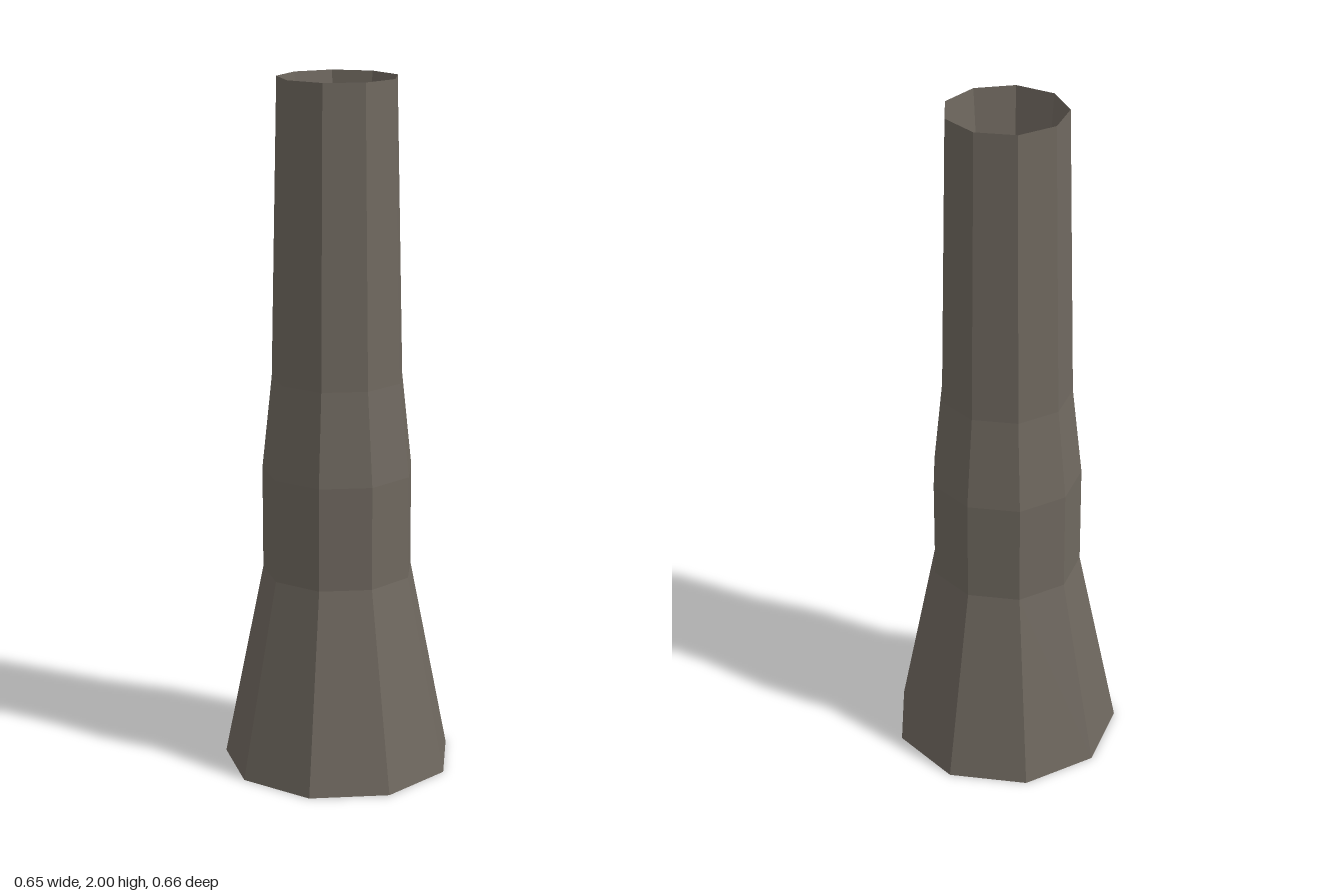
import * as THREE from 'three';

const SIDES = 9;

export function createModel() {
  const group = new THREE.Group();
  group.name = 'chimney';
  const material = new THREE.MeshStandardMaterial({ color: 0x6f685f });
  material.flatShading = true;
  material.side = THREE.DoubleSide;

  // Revolves [radius, height] pairs into a nine-sided shell with one corner on +x
  const addShell = (name, profile) => {
    const points = profile.map(([r, y]) => new THREE.Vector2(r, y));
    const mesh = new THREE.Mesh(new THREE.LatheGeometry(points, SIDES, Math.PI / 2), material);
    mesh.name = name;
    mesh.position.x = -0.01; // an odd-sided ring reaches further on its corner side
    group.add(mesh);
  };

  // Outer wall, open at the bottom: flared base, collar, tapering stack
  addShell('outerWall', [[0.335, 0], [0.219, 0.58], [0.219, 0.88], [0.19, 1.15], [0.171, 2]]);

  // Deep funnel from the top rim down to a point at ground level
  addShell('innerFunnel', [[0.171, 2], [0, 0]]);

  return group;
}
